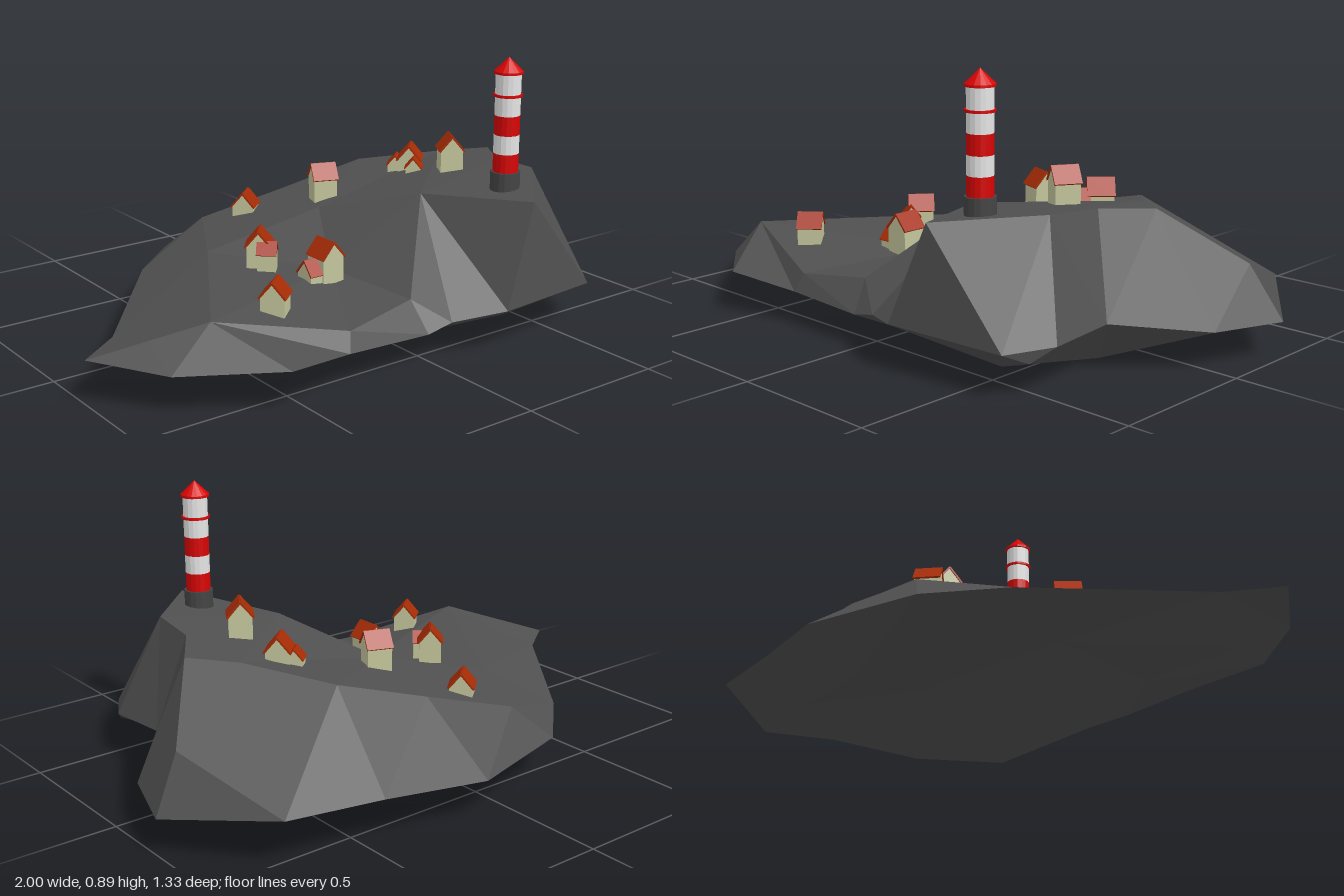
import * as THREE from 'three';

const material = (name, color) => {
  const m = new THREE.MeshStandardMaterial({ color });
  m.name = name;
  return m;
};

// Shoreline and spot heights, each as [x, y, z]
const rim = [
  [-1, 0.14, 0.21], [-0.85, 0.14, 0.1], [-0.48, 0.14, -0.37], [-0.28, 0.13, -0.56],
  [0.11, 0.13, -0.67], [0.45, 0.145, -0.6], [0.77, 0.155, -0.55], [1, 0.115, -0.24],
  [0.92, 0.12, 0], [0.71, 0.155, 0.24], [0.72, 0.145, 0.47], [0.64, 0.135, 0.61],
  [0.23, 0.145, 0.66], [0.07, 0.12, 0.58], [-0.02, 0.1, 0.575], [-0.32, 0.11, 0.57],
  [-0.57, 0.14, 0.63], [-0.84, 0.12, 0.42],
];
const hills = [
  [-0.85, 0.195, 0.31], [-0.7, 0.25, 0.41], [-0.35, 0.235, -0.16], [-0.1, 0.22, 0.18],
  [-0.3, 0.17, 0.545], [-0.04, 0.2, 0.51], [0.04, 0.34, -0.07], [0.2, 0.44, 0.27],
  [0.36, 0.467, 0.627], [0.6, 0.485, 0.37], [0.62, 0.475, 0.18], [0.72, 0.465, 0.03],
  [0.59, 0.45, -0.08], [0.9, 0.285, -0.2], [0.4, 0.4, -0.31], [0.115, 0.318, -0.395],
  [-0.17, 0.24, -0.48],
];
const underside = [
  [-0.7, 0.085, 0.36], [-0.33, 0.075, 0.33], [-0.34, 0.1, -0.06], [-0.12, 0.025, 0.2],
  [0.15, 0.03, 0.42], [0.11, 0.1, 0.03], [0.45, 0.005, 0.41], [0.675, 0.1, 0.535],
  [0.6, 0, 0.14], [0.58, 0, -0.12], [0.15, 0.045, -0.2], [0.75, 0.05, -0.2],
  [0.2, 0.06, -0.42], [0.53, 0.06, -0.38],
];

// Delaunay triangulation of points in the xz plane
function triangulate(points) {
  const pts = [...points, [-60, 0, -50], [60, 0, -50], [0, 0, 70]];
  const n = points.length;
  const inCircle = (t, p) => {
    const [a, b, c] = t.map((i) => [pts[i][0] - p[0], pts[i][2] - p[2]]);
    const sq = (v) => v[0] * v[0] + v[1] * v[1];
    const cross = (u, v) => u[0] * v[1] - u[1] * v[0];
    const det = sq(a) * cross(b, c) + sq(b) * cross(c, a) + sq(c) * cross(a, b);
    const area = cross(a, b) + cross(b, c) + cross(c, a);
    return det * area > 0;
  };
  let tris = [[n, n + 1, n + 2]];
  for (let i = 0; i < n; i++) {
    const bad = tris.filter((t) => inCircle(t, pts[i]));
    const edges = bad.flatMap((t) => [[t[0], t[1]], [t[1], t[2]], [t[2], t[0]]]);
    const border = edges.filter((e) => edges.filter((f) => f.includes(e[0]) && f.includes(e[1])).length === 1);
    tris = tris.filter((t) => !bad.includes(t)).concat(border.map((e) => [e[0], e[1], i]));
  }
  return tris.filter((t) => t.every((i) => i < n)).map((t) => t.map((i) => pts[i]));
}

function insideRim(x, z) {
  let inside = false;
  rim.forEach((a, i) => {
    const b = rim[(i + 1) % rim.length];
    if ((a[2] > z) !== (b[2] > z) && x < ((b[0] - a[0]) * (z - a[2])) / (b[2] - a[2]) + a[0]) inside = !inside;
  });
  return inside;
}

// Faceted surface inside the shoreline, facing up (1) or down (-1)
function rockSurface(spots, facing) {
  const positions = [];
  for (const [a, b, c] of triangulate([...rim, ...spots])) {
    if (!insideRim((a[0] + b[0] + c[0]) / 3, (a[2] + b[2] + c[2]) / 3)) continue;
    const ny = (b[2] - a[2]) * (c[0] - a[0]) - (b[0] - a[0]) * (c[2] - a[2]);
    positions.push(...a, ...(ny * facing > 0 ? [...b, ...c] : [...c, ...b]));
  }
  const g = new THREE.BufferGeometry();
  g.setAttribute('position', new THREE.Float32BufferAttribute(positions, 3));
  g.computeVertexNormals();
  return g;
}

function addMesh(parent, name, geometry, mat) {
  const mesh = new THREE.Mesh(geometry, mat);
  mesh.name = name;
  parent.add(mesh);
  return mesh;
}

// Gabled house with its ridge along local z; the walls run a little into the ground
function house(x, ridgeY, z, turn, size, wallMat, roofMat) {
  const g = new THREE.Group();
  g.name = 'house';
  const half = 0.038, rise = 0.045, len = 0.08, drop = 0.14;
  const gable = new THREE.Shape([
    [-half, -drop], [half, -drop], [half, -rise], [0, 0], [-half, -rise],
  ].map((p) => new THREE.Vector2(...p)));
  const walls = new THREE.ExtrudeGeometry(gable, { depth: len, bevelEnabled: false });
  addMesh(g, 'walls', walls.translate(0, -0.005, -len / 2), wallMat);
  const slope = Math.hypot(half, rise) * 1.13;
  const angle = Math.atan2(rise, half);
  for (const s of [-1, 1]) {
    const slab = addMesh(g, 'roofSlope', new THREE.BoxGeometry(slope, 0.006, len + 0.008), roofMat);
    slab.rotation.z = -s * angle;
    slab.position.set((s * slope * Math.cos(angle)) / 2, (-slope * Math.sin(angle)) / 2 - 0.003, 0);
  }
  g.position.set(x, ridgeY, z);
  g.rotation.y = turn;
  g.scale.setScalar(size);
  return g;
}

export function createModel() {
  const model = new THREE.Group();
  model.name = 'lighthouseIsland';
  const rock = material('rock', 0x505050);
  const stone = material('dark stone', 0x444444);
  const red = material('red paint', 0xd60404);
  const white = material('white paint', 0xe4e4e4);
  const wall = material('cream wall', 0xc3c59b);
  const roof = material('roof tile', 0xa62c06);

  // Island
  addMesh(model, 'islandTop', rockSurface(hills, 1), rock);
  addMesh(model, 'islandUnderside', rockSurface(underside, -1), rock);

  // Lighthouse, as stacked sections [name, bottom, top, lower radius, upper radius, material]
  const tower = new THREE.Group();
  tower.name = 'lighthouse';
  tower.position.set(0.402, 0, 0.449);
  [
    ['footing', 0.43, 0.523, 0.048, 0.048, stone],
    ['lowerRedBand', 0.523, 0.584, 0.041, 0.041, red],
    ['lowerWhiteBand', 0.584, 0.645, 0.041, 0.041, white],
    ['upperRedBand', 0.645, 0.708, 0.041, 0.041, red],
    ['upperWhiteBand', 0.708, 0.77, 0.041, 0.041, white],
    ['galleryRing', 0.769, 0.777, 0.047, 0.047, red],
    ['lanternRoom', 0.777, 0.843, 0.041, 0.041, white],
    ['roofRim', 0.842, 0.85, 0.047, 0.047, red],
    ['lanternRoof', 0.85, 0.895, 0.047, 0, red],
  ].forEach(([name, y0, y1, r0, r1, mat]) => {
    const g = new THREE.CylinderGeometry(r1, r0, y1 - y0, 16).toNonIndexed();
    g.computeVertexNormals();
    addMesh(tower, name, g.translate(0, (y0 + y1) / 2, 0), mat);
  });
  model.add(tower);

  // Houses and their annexes: x, ridge height, z, turn, size
  [
    [-0.458, 0.322, 0.385, -0.85, 0.97],
    [-0.07, 0.352, -0.353, -0.85, 0.97],
    [0.11, 0.47, -0.14, 1.21, 1],
    [0.432, 0.505, -0.06, -0.8, 1],
    [0.4, 0.475, 0, -0.8, 0.7],
    [0.4, 0.465, -0.098, -0.8, 0.7],
    [0.448, 0.575, 0.132, -0.55, 1],
    [-0.28, 0.355, 0.042, -0.7, 1],
    [-0.282, 0.325, 0.088, 0.87, 0.75],
    [-0.155, 0.345, 0.23, 0, 1.03],
    [-0.202, 0.29, 0.23, Math.PI / 2, 0.9],
  ].forEach((h) => model.add(house(...h, wall, roof)));

  return model;
}
